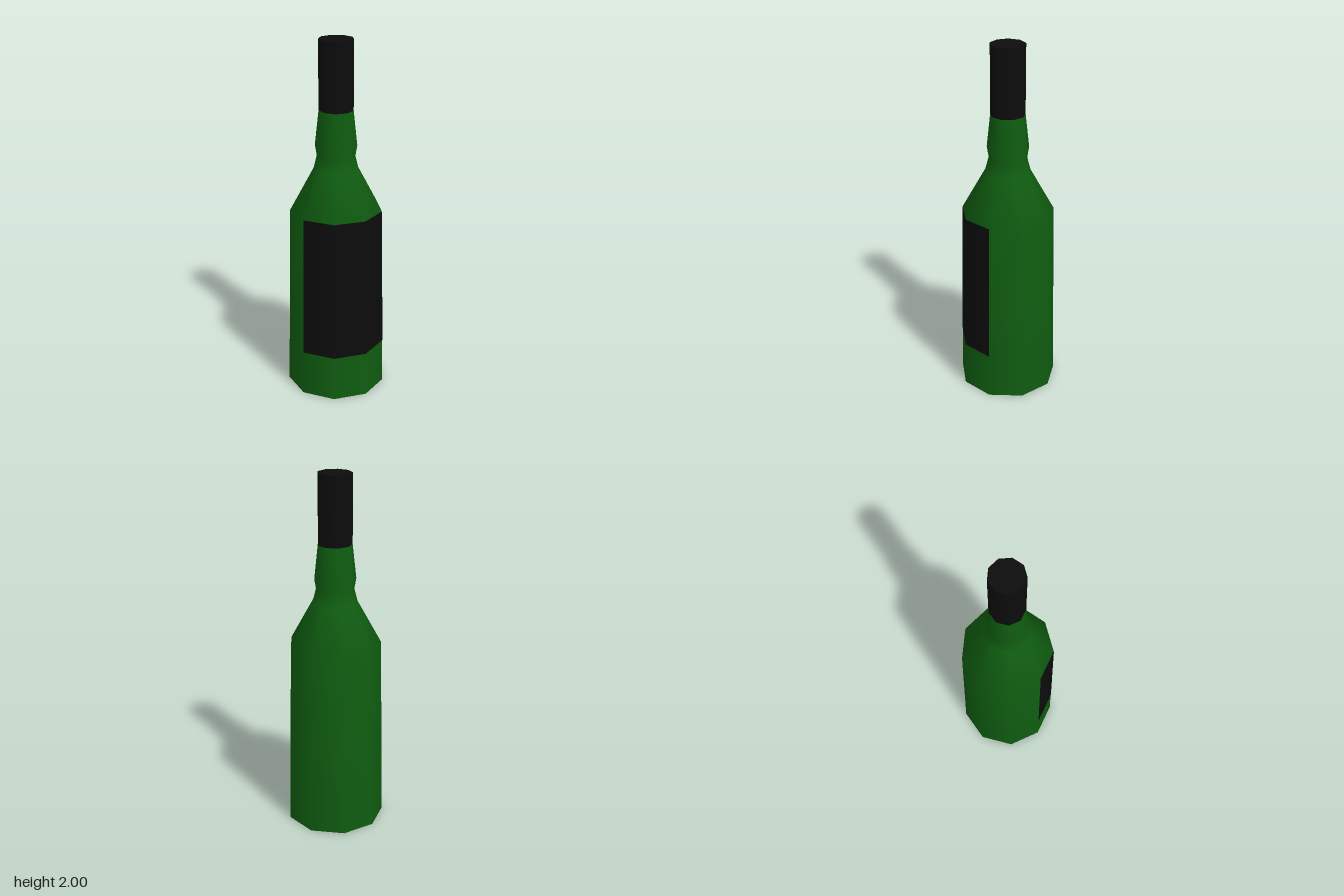
import * as THREE from 'three';

const SIDES = 9;
const STEP = (Math.PI * 2) / SIDES;
const TURN = -0.027; // slight twist of the nine-sided section
const BASE_R = 0.278, SHOULDER_R = 0.256, SHOULDER_Y = 1.06, CAP_R = 0.095, CAP_Y = 1.62;

const green = new THREE.MeshStandardMaterial({ color: 0x0f5c10 });
const black = new THREE.MeshStandardMaterial({ color: 0x0c0c0c });

// Radius of the tapering lower body at height y
const bodyRadius = (y) => THREE.MathUtils.lerp(BASE_R, SHOULDER_R, y / SHOULDER_Y);

// Turns a profile of [radius, height] over a number of sides
function turned(name, profile, material, first = 0, count = SIDES) {
  const points = profile.map(([r, y]) => new THREE.Vector2(r, y));
  const geometry = new THREE.LatheGeometry(points, count, TURN + first * STEP, count * STEP);
  const mesh = new THREE.Mesh(geometry, material);
  mesh.name = name;
  return mesh;
}

export function createModel() {
  const bottle = new THREE.Group();
  bottle.name = 'bottle';

  // Glass: tapered body, sloping shoulder, pinched and bulging neck
  bottle.add(turned('glassBody', [
    [BASE_R, 0], [bodyRadius(0.26), 0.26], [SHOULDER_R, SHOULDER_Y], [0.124, 1.3],
    [0.106, 1.37], [0.116, 1.43], [CAP_R, CAP_Y],
  ], green));
  bottle.add(turned('glassBase', [[0, 0], [BASE_R, 0]], green));

  // Label wrapped over three front panels
  const lift = 0.0015;
  bottle.add(turned('label', [
    [bodyRadius(0.26) + lift, 0.26], [SHOULDER_R + lift, SHOULDER_Y],
  ], black, -1, 3));

  // Foil sleeve and flat top
  bottle.add(turned('foilSleeve', [[CAP_R, CAP_Y], [CAP_R, 2]], black));
  bottle.add(turned('foilTop', [[CAP_R, 2], [0, 2]], black));

  bottle.position.set(0.001, 0, -0.006);
  const model = new THREE.Group();
  model.add(bottle);
  return model;
}
